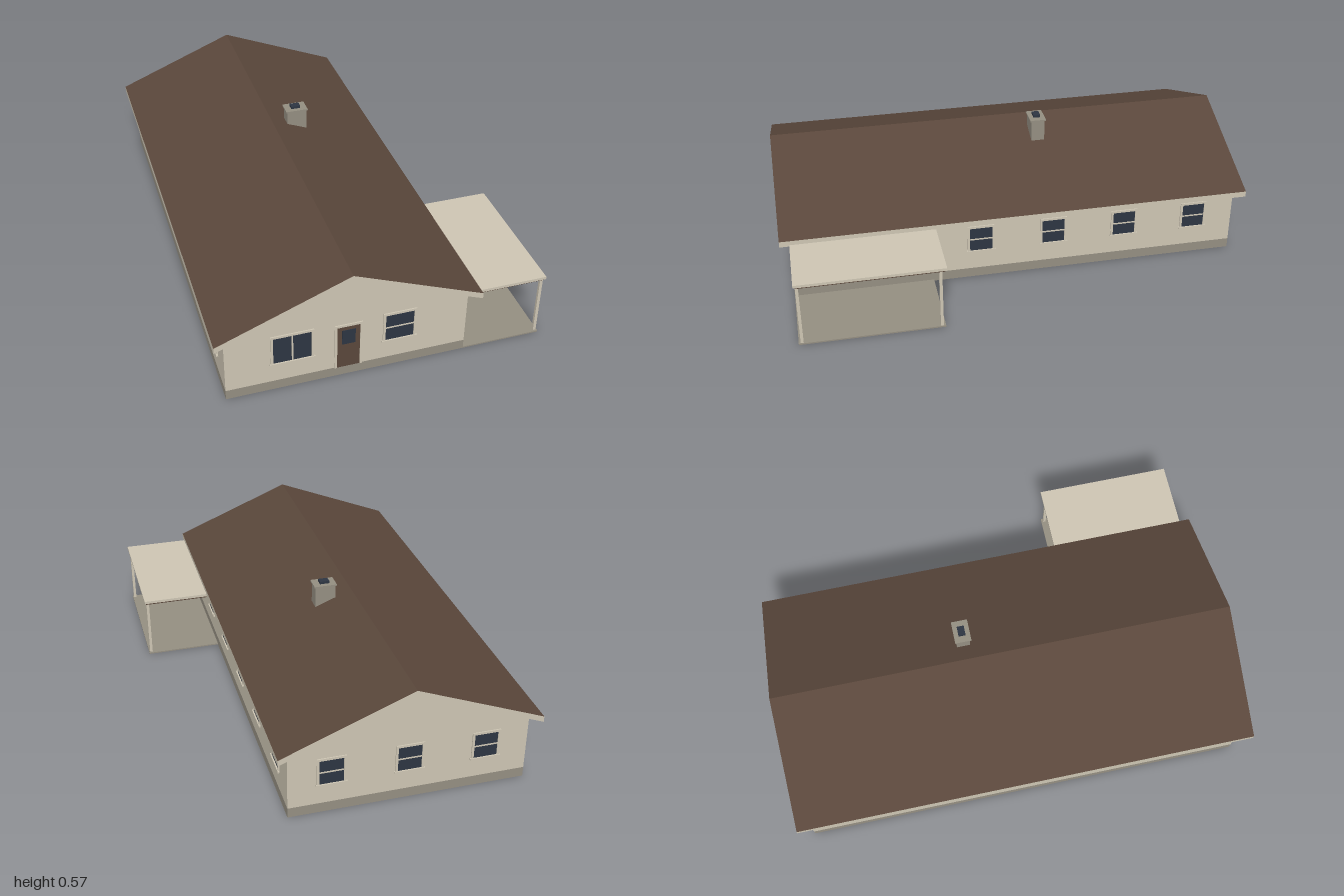
import * as THREE from 'three';

const mat = (name, color) => {
  const m = new THREE.MeshStandardMaterial({ color });
  m.name = name;
  return m;
};

export function createModel() {
  const cream = mat('cream', 0xcdc5b3);
  const brown = mat('brown', 0x5a473b);
  const stone = mat('stone', 0x948e81);
  const glass = mat('glass', 0x2d3542);
  const house = new THREE.Group();
  house.name = 'house';

  // Box given by its minimum and maximum corners
  const box = (parent, name, material, x0, x1, y0, y1, z0, z1) => {
    const mesh = new THREE.Mesh(new THREE.BoxGeometry(x1 - x0, y1 - y0, z1 - z0), material);
    mesh.position.set((x0 + x1) / 2, (y0 + y1) / 2, (z0 + z1) / 2);
    mesh.name = name;
    parent.add(mesh);
  };
  // Outline in x and y, extruded evenly along z
  const prism = (points, halfLength) => {
    const shape = new THREE.Shape(points.map(([x, y]) => new THREE.Vector2(x, y)));
    const geo = new THREE.ExtrudeGeometry(shape, { depth: halfLength * 2, bevelEnabled: false });
    return geo.translate(0, 0, -halfLength);
  };

  const WL = -0.637, WR = 0.34, WZ = 0.96, BASE = 0.043, RIDGE = -0.148;

  // Plinth and gabled walls
  box(house, 'plinth', stone, WL, WR, 0, BASE, -WZ, WZ);
  const walls = new THREE.Mesh(
    prism([[WL, BASE], [WR, BASE], [WR, 0.299], [RIDGE, 0.495], [WL, 0.299]], WZ), cream);
  walls.name = 'walls';
  house.add(walls);

  // Roof: brown slopes and soffits, cream fascia and bargeboards
  const roofGeo = prism([[-0.68, 0.282], [RIDGE, 0.495], [0.385, 0.282],
    [0.385, 0.307], [RIDGE, 0.52], [-0.68, 0.307]], 1);
  roofGeo.clearGroups();
  const normals = roofGeo.attributes.normal;
  for (let i = 0; i < normals.count; i += 3) {
    roofGeo.addGroup(i, 3, Math.abs(normals.getY(i)) > 0.5 ? 0 : 1);
  }
  const roof = new THREE.Mesh(roofGeo, [brown, cream]);
  roof.name = 'roof';
  house.add(roof);

  // Chimney
  box(house, 'chimneyStack', stone, -0.077, 0.011, 0.44, 0.55, -0.186, -0.128);
  box(house, 'chimneyCap', stone, -0.082, 0.016, 0.55, 0.556, -0.192, -0.122);
  box(house, 'chimneyFlue', glass, -0.054, -0.013, 0.556, 0.567, -0.172, -0.142);

  // Holder whose local +z points out of a wall
  const onWall = (name, x, z, angle) => {
    const g = new THREE.Group();
    g.name = name;
    g.position.set(x, 0, z);
    g.rotation.y = angle;
    house.add(g);
    return g;
  };
  const F = 0.01;
  const frame = (g, w, y0, y1) => {
    for (const s of [-1, 1]) {
      const x = s * (w / 2 + F / 2);
      box(g, 'frameSide', cream, x - F / 2, x + F / 2, y0, y1 + F, 0, 0.005);
    }
    box(g, 'frameTop', cream, -w / 2, w / 2, y1, y1 + F, 0, 0.005);
  };
  const addWindow = (name, x, z, angle, w, y1, uprightBar = false) => {
    const g = onWall(name, x, z, angle), y0 = 0.134, mid = (y0 + y1) / 2;
    box(g, 'pane', glass, -w / 2, w / 2, y0, y1, 0, 0.002);
    frame(g, w, y0, y1);
    if (uprightBar) box(g, 'glazingBar', cream, -0.003, 0.003, y0, y1, 0, 0.004);
    else box(g, 'glazingBar', cream, -w / 2, w / 2, mid - 0.003, mid + 0.003, 0, 0.004);
    box(g, 'sill', cream, -w / 2 - 0.014, w / 2 + 0.014, 0.127, y0, 0, 0.008);
  };

  // Front and back windows
  addWindow('frontWideWindow', -0.372, WZ, 0, 0.152, 0.258, true);
  addWindow('frontWindow', 0.06, WZ, 0, 0.116, 0.258);
  for (const x of [-0.462, -0.148, 0.166]) addWindow('backWindow', x, -WZ, Math.PI, 0.097, 0.243);

  // Six windows along each side
  for (let i = 0; i < 6; i++) {
    const z = 0.793 - i * 0.315;
    addWindow('leftWindow', WR, z, Math.PI / 2, 0.097, 0.243);
    addWindow('rightWindow', WL, z, -Math.PI / 2, 0.097, 0.243);
  }

  // Front door
  const door = onWall('frontDoor', RIDGE, WZ, 0);
  box(door, 'doorLeaf', brown, -0.046, 0.046, BASE, 0.247, 0, 0.003);
  box(door, 'doorPane', glass, -0.027, 0.027, 0.16, 0.229, 0.003, 0.005);
  frame(door, 0.092, BASE, 0.247);

  // Side patio with a flat canopy on two posts
  box(house, 'patioSlab', stone, WR, 0.67, 0, 0.006, 0.37, 0.96);
  box(house, 'canopyRoof', cream, WR, 0.675, 0.276, 0.288, 0.36, 0.96);
  box(house, 'canopySoffit', brown, WR, 0.668, 0.268, 0.276, 0.367, 0.953);
  for (const z of [0.385, 0.946]) {
    box(house, 'canopyPost', cream, 0.654, 0.666, 0.006, 0.27, z - 0.006, z + 0.006);
  }
  return house;
}
